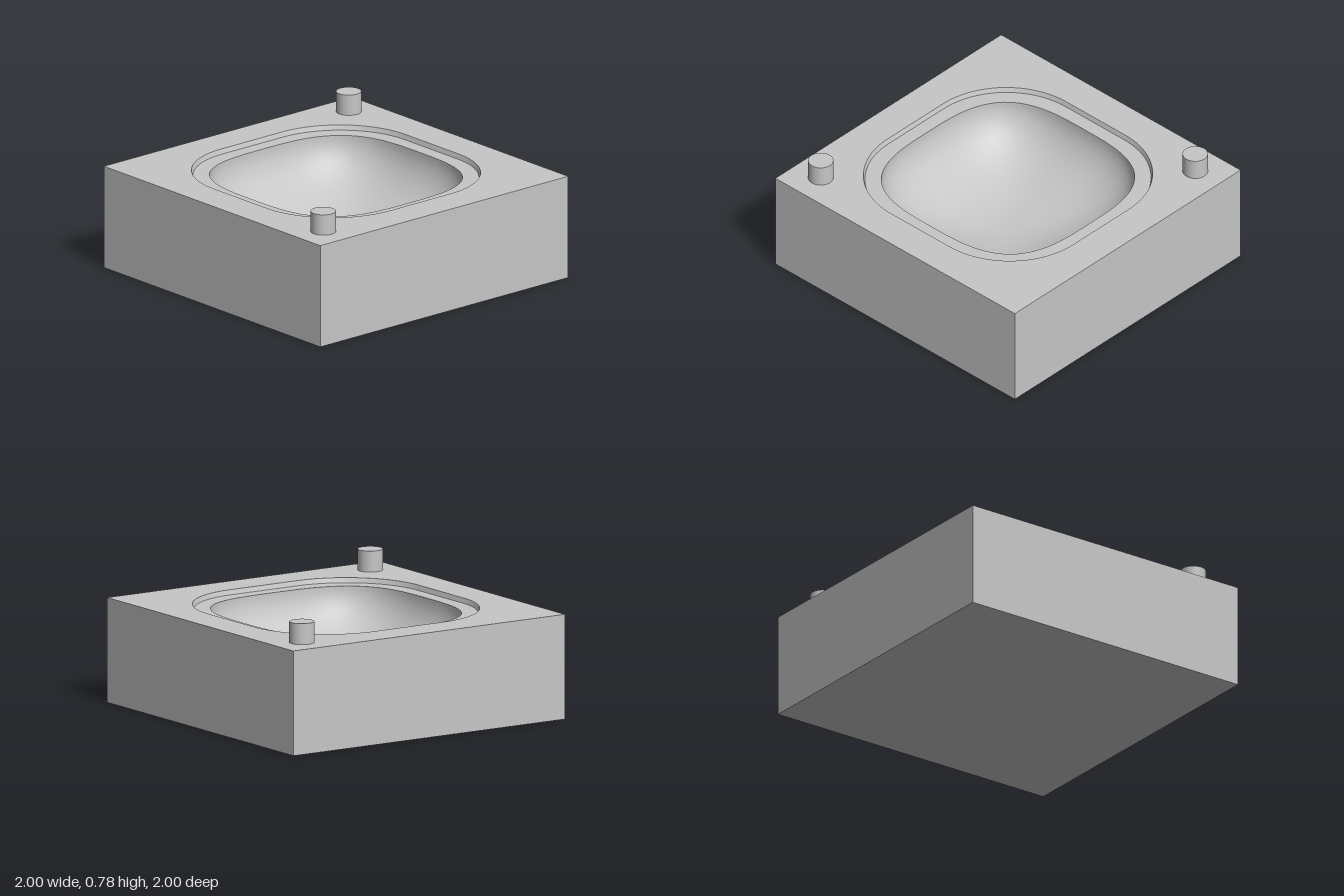
import * as THREE from 'three';

const SEG = 128, TOP = 0.65, LEDGE = 0.62, DEPTH = 0.42;

// Polar radius of a rounded square with the given half width and corner radius
function roundedSquare(half, corner) {
  const c = half - corner;
  return (a) => {
    const u = Math.abs(Math.cos(a)), v = Math.abs(Math.sin(a));
    if (Math.min(u, v) / Math.max(u, v) * half <= c) return half / Math.max(u, v);
    const b = c * (u + v);
    return b + Math.sqrt(b * b - 2 * c * c + corner * corner);
  };
}

// Polar radius of a superellipse
const superellipse = (half, n) => (a) =>
  half / Math.pow(Math.abs(Math.cos(a)) ** n + Math.abs(Math.sin(a)) ** n, 1 / n);

// Skin closed rings listed from the outside in, each { radius(a), y }
function loft(rings) {
  const pos = [], index = [];
  rings.forEach(({ radius, y }, k) => {
    for (let j = 0; j < SEG; j++) {
      const a = (j / SEG) * Math.PI * 2, r = radius(a);
      pos.push(r * Math.cos(a), y, r * Math.sin(a));
      if (k === 0) continue;
      const n = (j + 1) % SEG, o = (k - 1) * SEG, i = k * SEG;
      index.push(o + j, i + j, o + n, o + n, i + j, i + n);
    }
  });
  const g = new THREE.BufferGeometry();
  g.setAttribute('position', new THREE.Float32BufferAttribute(pos, 3));
  g.setIndex(index);
  g.computeVertexNormals();
  return g;
}

export function createModel() {
  const group = new THREE.Group();
  const grey = new THREE.MeshStandardMaterial({ color: 0xc6c6c6 });
  grey.name = 'plain grey';
  const add = (name, geometry) => {
    const mesh = new THREE.Mesh(geometry, grey);
    mesh.name = name;
    group.add(mesh);
    return mesh;
  };

  const recessTop = roundedSquare(0.777, 0.53);
  const recessFoot = roundedSquare(0.767, 0.52);
  const cavityRim = superellipse(0.676, 3.2);

  // Block sides and base: a box with its top face left out
  const box = new THREE.BoxGeometry(2, TOP, 2).translate(0, TOP / 2, 0);
  const faces = Array.from(box.index.array);
  faces.splice(12, 6);
  box.setIndex(faces);
  box.clearGroups();
  add('blockSides', box);

  // Top face with the recess opening
  const face = new THREE.Shape([[-1, -1], [1, -1], [1, 1], [-1, 1]].map(([x, y]) => new THREE.Vector2(x, y)));
  const opening = [];
  for (let j = 0; j < SEG; j++) {
    const a = (j / SEG) * Math.PI * 2, r = recessTop(a);
    opening.push(new THREE.Vector2(r * Math.cos(a), r * Math.sin(a)));
  }
  face.holes.push(new THREE.Path(opening));
  add('topFace', new THREE.ShapeGeometry(face).rotateX(-Math.PI / 2).translate(0, TOP, 0));

  // Shallow recess around the cavity
  add('recessWall', loft([{ radius: recessTop, y: TOP }, { radius: recessFoot, y: LEDGE }]));
  add('recessLedge', loft([{ radius: recessFoot, y: LEDGE }, { radius: cavityRim, y: LEDGE }]));

  // Smooth bowl-shaped cavity
  const bowl = [];
  for (let k = 0; k <= 32; k++) {
    const p = (k / 32) * Math.PI / 2;
    const t = Math.max(Math.cos(p), 0.001);
    bowl.push({ radius: (a) => cavityRim(a) * t, y: LEDGE - DEPTH * Math.sin(p) });
  }
  add('cavity', loft(bowl));

  // Locating pegs in two opposite corners
  for (const s of [-1, 1]) {
    add(s < 0 ? 'frontPeg' : 'backPeg', new THREE.CylinderGeometry(0.077, 0.077, 0.14, 48))
      .position.set(0.805 * s, 0.71, -0.805 * s);
  }
  return group;
}
